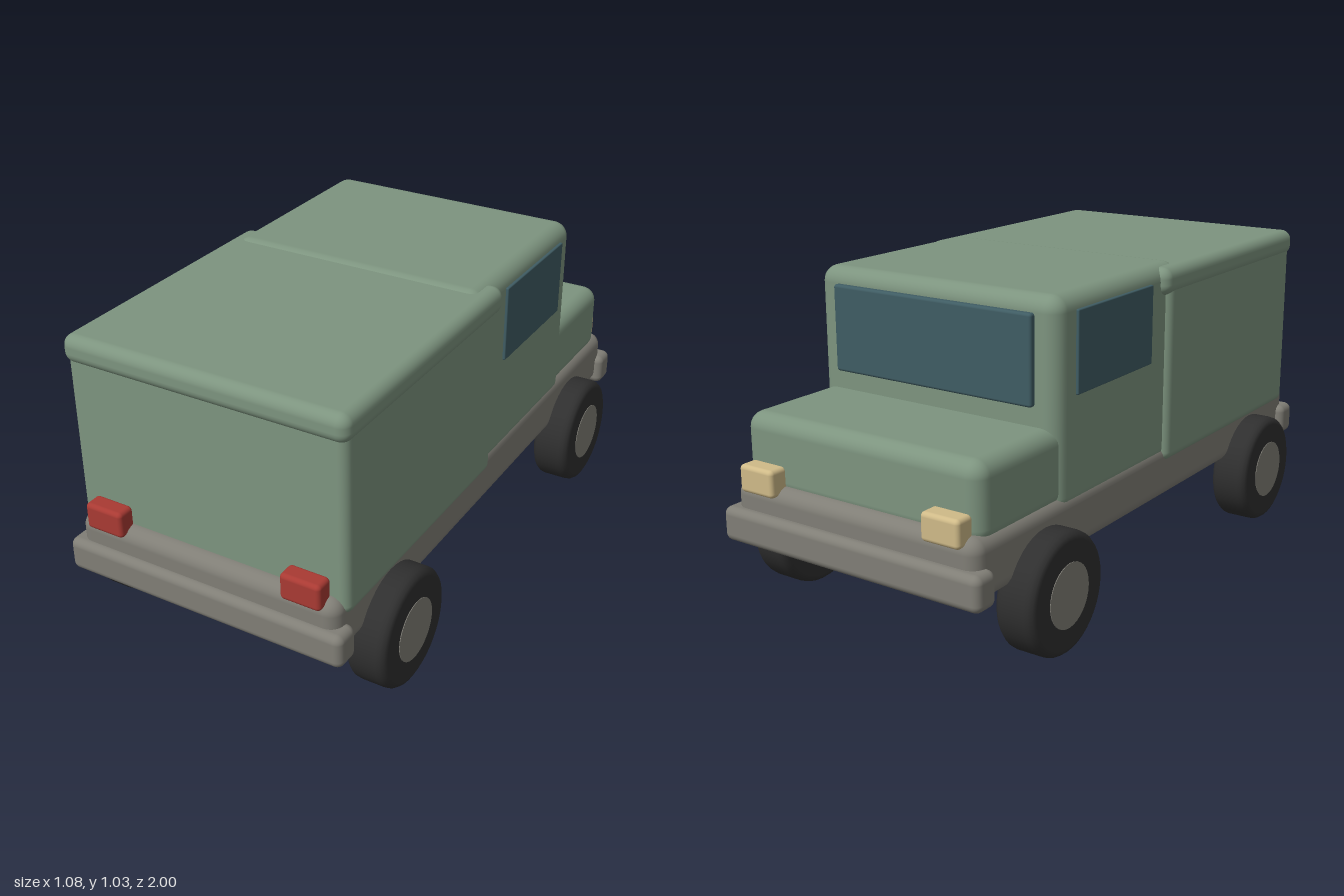
import * as THREE from 'three';
import { RoundedBoxGeometry } from 'three/addons/geometries/RoundedBoxGeometry.js';

const paint = (name, color) => {
  const m = new THREE.MeshStandardMaterial({ color });
  m.name = name;
  return m;
};

export function createModel() {
  const green = paint('sage green', 0x7d947f);
  const grey = paint('warm grey', 0x807e76);
  const rubber = paint('tyre black', 0x2f2f2f);
  const glass = paint('window blue', 0x3f5c63);
  const red = paint('tail light red', 0xa93a33);
  const cream = paint('headlight cream', 0xcfba88);

  const model = new THREE.Group();
  model.name = 'boxTruck';

  // Rounded box given by its extents on each axis
  const box = (name, mat, [x0, x1], [y0, y1], [z0, z1], r) => {
    const mesh = new THREE.Mesh(new RoundedBoxGeometry(x1 - x0, y1 - y0, z1 - z0, 4, r), mat);
    mesh.position.set((x0 + x1) / 2, (y0 + y1) / 2, (z0 + z1) / 2);
    mesh.name = name;
    model.add(mesh);
    return mesh;
  };

  // Chassis and bumpers
  box('chassis', grey, [-0.455, 0.455], [0.25, 0.44], [-0.97, 0.975], 0.045);
  box('rearBumper', grey, [-0.482, 0.482], [0.245, 0.355], [0.91, 1], 0.025);
  box('frontBumper', grey, [-0.482, 0.482], [0.245, 0.355], [-1, -0.91], 0.025);

  // Bodywork
  box('cargoBox', green, [-0.468, 0.468], [0.38, 1], [0.035, 0.932], 0.03);
  box('cargoRoof', green, [-0.475, 0.475], [0.933, 1.022], [0.002, 0.944], 0.035);
  box('cab', green, [-0.45, 0.45], [0.38, 1.03], [-0.573, 0.14], 0.05);
  box('hood', green, [-0.44, 0.44], [0.4, 0.645], [-0.93, -0.5], 0.05);

  // Windows
  box('windshield', glass, [-0.37, 0.37], [0.705, 0.98], [-0.592, -0.56], 0.009);
  for (const [side, s] of [['left', 1], ['right', -1]]) {
    const x = s > 0 ? [0.44, 0.459] : [-0.459, -0.44];
    box(side + 'Window', glass, x, [0.732, 0.983], [-0.48, -0.055], 0.004);
  }

  // Lights
  for (const [side, s] of [['left', 1], ['right', -1]]) {
    const x = s > 0 ? [0.277, 0.41] : [-0.41, -0.277];
    box(side + 'TailLight', red, x, [0.413, 0.5], [0.925, 0.988], 0.014);
    box(side + 'Headlight', cream, x, [0.413, 0.5], [-0.988, -0.92], 0.014);
  }

  // Wheels: tyre turned from a rounded profile, with a flush hub
  const R = 0.188, W = 0.067, profile = [[0, -W], [0.165, -W], [0.178, -0.061], [0.186, -0.05],
    [R, -0.036], [R, 0.036], [0.186, 0.05], [0.178, 0.061], [0.165, W], [0, W]];
  const tyreGeo = new THREE.LatheGeometry(profile.map(([x, y]) => new THREE.Vector2(x, y)), 40);
  const hubGeo = new THREE.CylinderGeometry(0.1, 0.1, 0.138, 32);
  for (const [end, z] of [['rear', 0.672], ['front', -0.645]]) {
    for (const [side, s] of [['Left', 1], ['Right', -1]]) {
      const wheel = new THREE.Group();
      wheel.name = end + side + 'Wheel';
      const tyre = new THREE.Mesh(tyreGeo, rubber);
      tyre.name = 'tyre';
      const hub = new THREE.Mesh(hubGeo, grey);
      hub.name = 'hub';
      wheel.add(tyre, hub);
      wheel.rotation.z = Math.PI / 2;
      wheel.position.set(s * 0.473, 0.191, z);
      model.add(wheel);
    }
  }
  return model;
}
